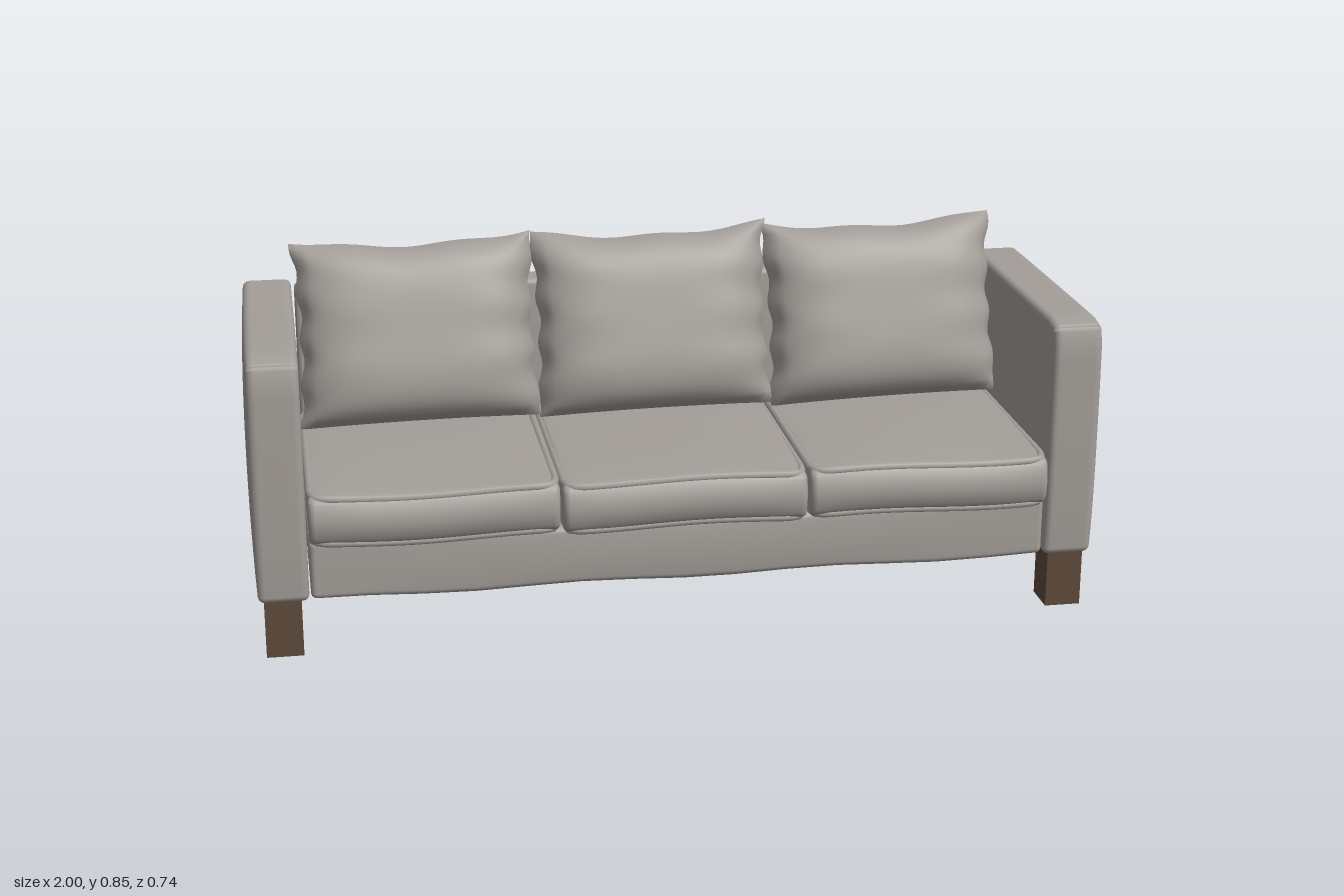
import * as THREE from 'three';
import { mergeVertices } from 'three/addons/utils/BufferGeometryUtils.js';

const fabric = new THREE.MeshStandardMaterial({ color: 0xa39e99 });
fabric.name = 'warm grey fabric';
const wood = new THREE.MeshStandardMaterial({ color: 0x5e4b3a });
wood.name = 'brown wood';

// Weld, shape every vertex by a rule, and smooth
function sculpt(box, rule) {
  box.deleteAttribute('uv');
  box.deleteAttribute('normal');
  const geo = mergeVertices(box, 1e-5);
  const pos = geo.attributes.position;
  const p = new THREE.Vector3();
  for (let i = 0; i < pos.count; i++) {
    rule(p.fromBufferAttribute(pos, i));
    pos.setXYZ(i, p.x, p.y, p.z);
  }
  geo.computeVertexNormals();
  return geo;
}

// Upholstered box: rounded edges, then an optional bulge; u holds -1..1 box coordinates
function softBox(w, h, d, r, bulge = () => {}) {
  const half = [w / 2, h / 2, d / 2];
  const c = new THREE.Vector3(), u = new THREE.Vector3();
  return sculpt(new THREE.BoxGeometry(2, 2, 2, 20, 20, 20), (p) => {
    for (let k = 0; k < 3; k++) {
      const t = p.getComponent(k), a = Math.abs(t), s = Math.sign(t), inner = half[k] - r;
      const edge = Math.max(0, (a - 0.7) / 0.3);
      c.setComponent(k, s * Math.min(1, a / 0.7) * inner);
      p.setComponent(k, s * r * Math.tan(edge * Math.PI / 4));
    }
    p.normalize().multiplyScalar(r).add(c);
    u.set(p.x / half[0], p.y / half[1], p.z / half[2]);
    bulge(p, u);
  });
}

const dome = (a, b) => Math.max(0, 1 - a * a) * Math.max(0, 1 - b * b);

function add(parent, name, geo, mat, x, y, z) {
  const mesh = new THREE.Mesh(geo, mat);
  mesh.name = name;
  mesh.position.set(x, y, z);
  parent.add(mesh);
  return mesh;
}

// Arm with a bulging outer face and a larger curve at the top front
function armGeometry(side) {
  const H = 0.29, D = 0.351, R = 0.045;
  return softBox(0.116, 2 * H, 2 * D, 0.016, (p, u) => {
    const a = (p.y - H + R) / R, b = (p.z - D + R) / R;
    if (a > 0 && b > 0) {
      const s = Math.max(a, b) / Math.hypot(a, b);
      p.y = H - R + a * s * R;
      p.z = D - R + b * s * R;
    }
    if (u.x * side > 0) p.x += side * 0.012 * u.x * side * Math.sqrt(dome(u.y, u.z));
    if (u.z > 0.9) p.z -= 0.008 * Math.max(0, -u.y) ** 3;
  });
}

// Piping loop around a cushion's rounded outline
function pipingGeometry(w, d, wave) {
  const pts = [], n = 96, hw = w / 2, hd = d / 2;
  for (let i = 0; i < n; i++) {
    const t = (i / n) * Math.PI * 2, c = Math.cos(t), s = Math.sin(t);
    const k = 1 / Math.pow(c ** 20 + s ** 20, 1 / 20);
    pts.push(new THREE.Vector3(c * k * hw, wave(c * k), s * k * hd));
  }
  return new THREE.TubeGeometry(new THREE.CatmullRomCurve3(pts, true), 144, 0.01, 8, true);
}

// Pillow: puffed middle, pinched seams, pulled-out corners
function pillowGeometry(w, h, t, phase) {
  return sculpt(new THREE.BoxGeometry(2, 2, 2, 32, 32, 1), (p) => {
    const u = p.x, v = p.y, s = Math.sign(p.z);
    const puff = Math.pow((1 - u ** 4) * (1 - v ** 4), 0.6);
    const ruffle = 0.005 * Math.sin(v * 13 + phase) * u ** 4;
    p.x = u * w / 2 * (1 - 0.05 * (1 - v * v) * u * u) + ruffle;
    p.y = v * h / 2 * (1 - (v > 0 ? 0.1 : 0.02) * (1 - u * u) * v * v);
    p.y += 0.004 * Math.sin(u * 7 + phase) * Math.max(0, v) ** 3;
    p.z = s * (0.003 + t / 2 * puff * (1 - 0.12 * v));
    // soft creases running in from the sides
    p.z += s * 0.004 * Math.sin(v * 11 + phase) * u * u * puff;
  });
}

export function createModel() {
  const sofa = new THREE.Group();
  sofa.name = 'sofa';

  // Arms and legs
  for (const side of [1, -1]) {
    const label = side > 0 ? 'left' : 'right';
    add(sofa, label + 'Arm', armGeometry(side), fabric, side * 0.93, 0.43, -0.013);
    for (const [end, z] of [['Front', 0.265], ['Back', -0.285]])
      add(sofa, label + end + 'Leg', new THREE.BoxGeometry(0.086, 0.142, 0.09), wood, side * 0.933, 0.071, z);
  }

  // Seat base with a slightly loose lower edge
  const base = softBox(1.736, 0.145, 0.697, 0.014, (p, u) => {
    if (u.y < 0) p.y += u.y * 0.004 * Math.sin(p.x * 11 + 1);
    if (u.z > 0) p.z += 0.006 * dome(u.x, u.y) * u.z;
  });
  add(sofa, 'seatBase', base, fabric, 0, 0.213, -0.02);

  // Backrest
  const back = softBox(1.73, 0.43, 0.085, 0.014, (p, u) => {
    p.z += u.z * 0.004 * dome(u.x, u.y);
  });
  add(sofa, 'backrest', back, fabric, 0, 0.497, -0.321);

  // Seat cushions with piping, and back pillows
  [-1, 0, 1].forEach((k) => {
    const x = k * 0.58, w = 0.574, d = 0.625;
    const wave = (u) => 0.004 * Math.sin(u * 3 + k * 2 + 1);
    const cushion = new THREE.Group();
    cushion.name = 'seatCushion';
    cushion.position.set(x, 0.338, 0.033);
    const body = softBox(w, 0.116, d, 0.016, (p, u) => {
      if (u.y > 0) p.y += 0.012 * u.y * Math.sqrt(dome(u.x, u.z));
      if (u.z > 0) {
        p.z += 0.022 * u.z * (1 - u.y * u.y) * (1 - 0.3 * u.x ** 4);
        p.y += wave(u.x) * u.z;
      }
    });
    add(cushion, 'cushionBody', body, fabric, 0, 0, 0);
    for (const y of [0.053, -0.053])
      add(cushion, 'piping', pipingGeometry(w - 0.014, d - 0.006, wave), fabric, 0, y, 0);
    sofa.add(cushion);

    const pillow = add(sofa, 'backPillow', pillowGeometry(0.588, 0.455, 0.18, k * 2 + 1), fabric, x + 0.005, 0.624, -0.19);
    pillow.rotation.set(-0.27, 0, k > 0 ? 0.022 : 0.012);
  });

  return sofa;
}
